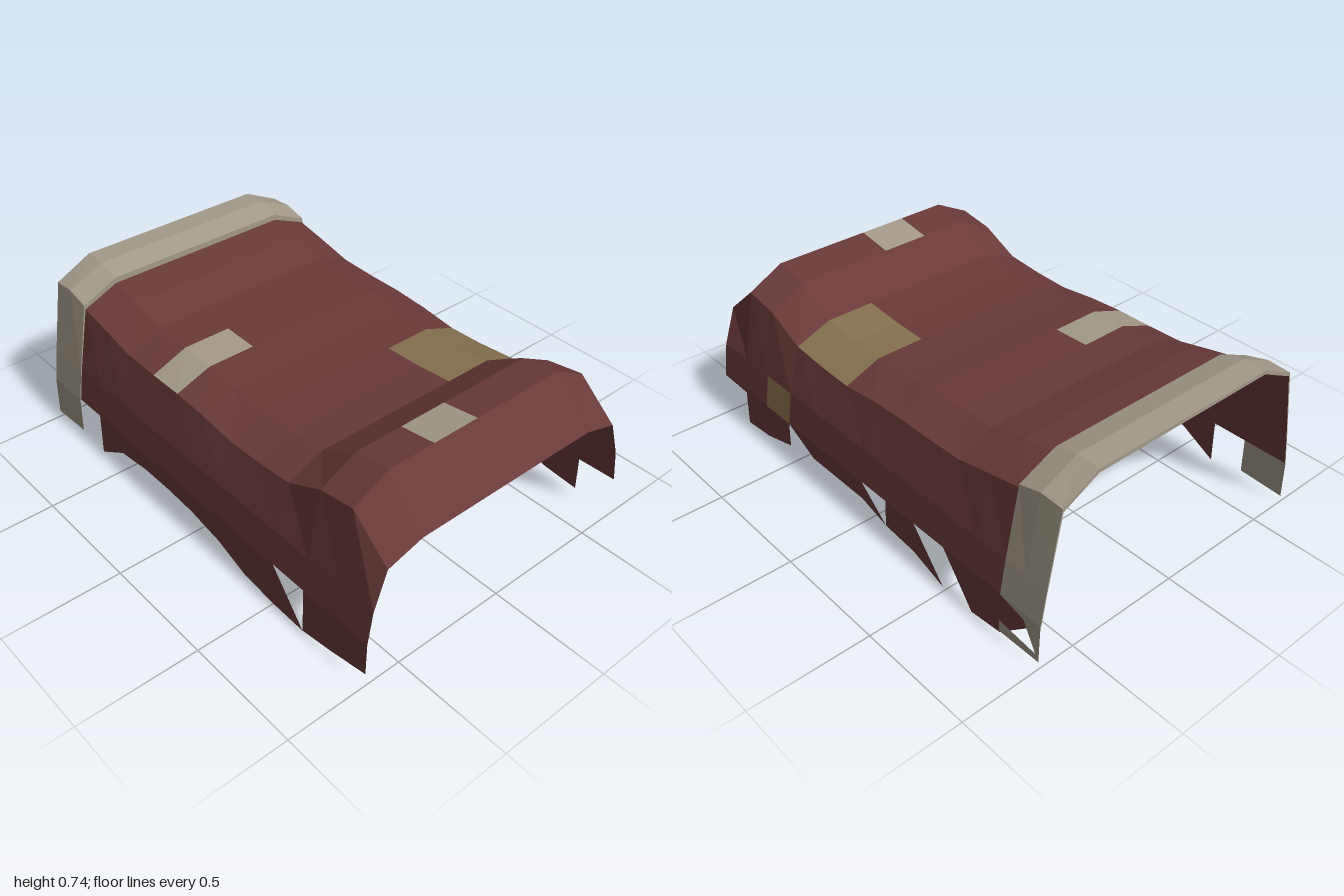
import * as THREE from 'three';

const mat = (name, color) => {
  const m = new THREE.MeshStandardMaterial({ color, side: THREE.DoubleSide, flatShading: true });
  m.name = name;
  return m;
};

// Lengthwise stations: [z, height of the top, height of the shoulder fold]
const clothStations = [
  [1, 0.545, 0.5], [0.83, 0.725, 0.645], [0.67, 0.7, 0.62], [0.5, 0.6, 0.54],
  [0.33, 0.585, 0.525], [0.17, 0.58, 0.52], [0, 0.59, 0.54], [-0.16, 0.605, 0.55],
  [-0.32, 0.61, 0.55], [-0.49, 0.62, 0.555], [-0.65, 0.66, 0.59], [-0.8, 0.685, 0.62],
  [-0.9, 0.715, 0.64], [-1, 0.722, 0.645],
];
const bandStations = [
  [-0.8, 0.685, 0.62, 0], [-0.8, 0.71, 0.638, 0.004], [-0.9, 0.738, 0.665, 0.004],
  [-1, 0.738, 0.66, 0.004], [-1, 0.722, 0.645, 0],
];
const HEM = 0.2;

// One draped cross-section, from -x hem over the top to +x hem
function section([z, top, fold, out = 0]) {
  const half = [[0.21, top], [0.42, top], [0.575 + out, fold], [0.632 + out, 0.34], [0.655 + out, HEM]];
  return [...half.map(([x, y]) => [-x, y, z]).reverse(), [0, top, z], ...half.map(([x, y]) => [x, y, z])];
}

// Loft the sections; pick(row, column) gives each cell's material index
function loft(stations, pick = () => 0) {
  const rows = stations.map(section);
  const cells = [[], [], []];
  for (let i = 0; i < rows.length - 1; i++) {
    for (let j = 0; j < rows[0].length - 1; j++) {
      const a = rows[i][j], b = rows[i][j + 1], c = rows[i + 1][j + 1], d = rows[i + 1][j];
      cells[pick(i, j)].push(...a, ...b, ...c, ...a, ...c, ...d);
    }
  }
  const geo = new THREE.BufferGeometry();
  geo.setAttribute('position', new THREE.Float32BufferAttribute(cells.flat(), 3));
  let start = 0;
  cells.forEach((list, k) => {
    if (list.length) geo.addGroup(start, list.length / 3, k);
    start += list.length / 3;
  });
  geo.computeVertexNormals();
  return geo;
}

// Torn hanging pieces below the hem line, outlined as [z, y] on one side
function tatters(outlines, side, out = 0) {
  const shapes = outlines.map(o => new THREE.Shape(o.map(([z, y]) => new THREE.Vector2(z, y))));
  const geo = new THREE.ShapeGeometry(shapes);
  const p = geo.attributes.position;
  for (let i = 0; i < p.count; i++) {
    const z = p.getX(i), y = p.getY(i);
    p.setXYZ(i, side * (0.655 + out + (HEM - y) * 0.03), y, z);
  }
  // keep the faces pointing outwards
  if (side > 0) {
    const ix = geo.index;
    for (let i = 0; i < ix.count; i += 3) {
      const t = ix.getX(i);
      ix.setX(i, ix.getX(i + 1));
      ix.setX(i + 1, t);
    }
  }
  geo.computeVertexNormals();
  return geo;
}

export function createModel() {
  const red = mat('faded red cloth', 0x6a3a3a);
  const cream = mat('pale cloth', 0xa39a8a);
  const tan = mat('tan cloth', 0x857150);
  const group = new THREE.Group();
  group.name = 'tatteredCover';
  const add = (name, geo, material) => {
    const m = new THREE.Mesh(geo, material);
    m.name = name;
    group.add(m);
  };

  // Main cloth with its sewn patches
  const patchAt = (i, j) => {
    if ((i === 3 || i === 4) && (j === 6 || j === 7)) return 2; // large tan patch
    if (i === 2 && j === 8) return 2;                           // side tan patch, split below
    if (i === 7 && (j === 2 || j === 3)) return 1;              // rear pale patch
    if (i === 1 && j === 4) return 1;                           // front pale patch
    return 0;
  };
  // columns run 0..9: two side rows, fold, four top strips, fold, two side rows
  const cloth = (i, j) => (i === 2 && j === 9 ? 2 : i === 2 && j === 8 ? 0 : patchAt(i, j));
  add('drapedCloth', loft(clothStations, cloth), [red, cream, tan]);

  // Torn edges
  add('leftTatters', tatters([
    [[1, HEM], [1, 0.19], [0.83, 0.185], [0.83, 0.03], [0.67, 0.045], [0.5, 0.09], [0.5, HEM]],
    [[0.5, HEM], [0.33, 0.12], [0, 0.12], [-0.15, 0.08], [0, HEM]],
    [[-0.15, HEM], [-0.15, 0.08], [-0.32, 0.065], [-0.49, 0.01], [-0.32, HEM]],
    [[-0.49, HEM], [-0.65, 0.005], [-0.8, 0.02], [-1, HEM]],
  ], 1), red);
  add('rightTatters', tatters([
    [[1, HEM], [1, 0.06], [0.83, 0.025], [0.67, 0], [0.67, HEM]],
    [[0.5, HEM], [0.67, 0], [0.5, 0.005], [0.33, 0.025], [0.17, 0.08], [0, 0.11],
      [-0.16, 0.12], [-0.32, 0.12], [-0.49, 0.1], [-0.65, 0.01], [-0.65, HEM]],
  ], -1), red);

  // Pale band over the rear edge
  add('rearBand', loft(bandStations), [cream]);
  add('leftBandEnd', tatters([
    [[-0.8, HEM], [-0.92, 0.17], [-1, 0.03], [-1, HEM]],
    [[-0.8, 0.03], [-0.8, 0.08], [-1, 0.06], [-1, 0.035]],
  ], 1, 0.004), cream);
  add('rightBandEnd', tatters([
    [[-0.8, HEM], [-0.8, 0.04], [-1, 0.03], [-1, HEM]],
  ], -1, 0.004), cream);

  return group;
}
